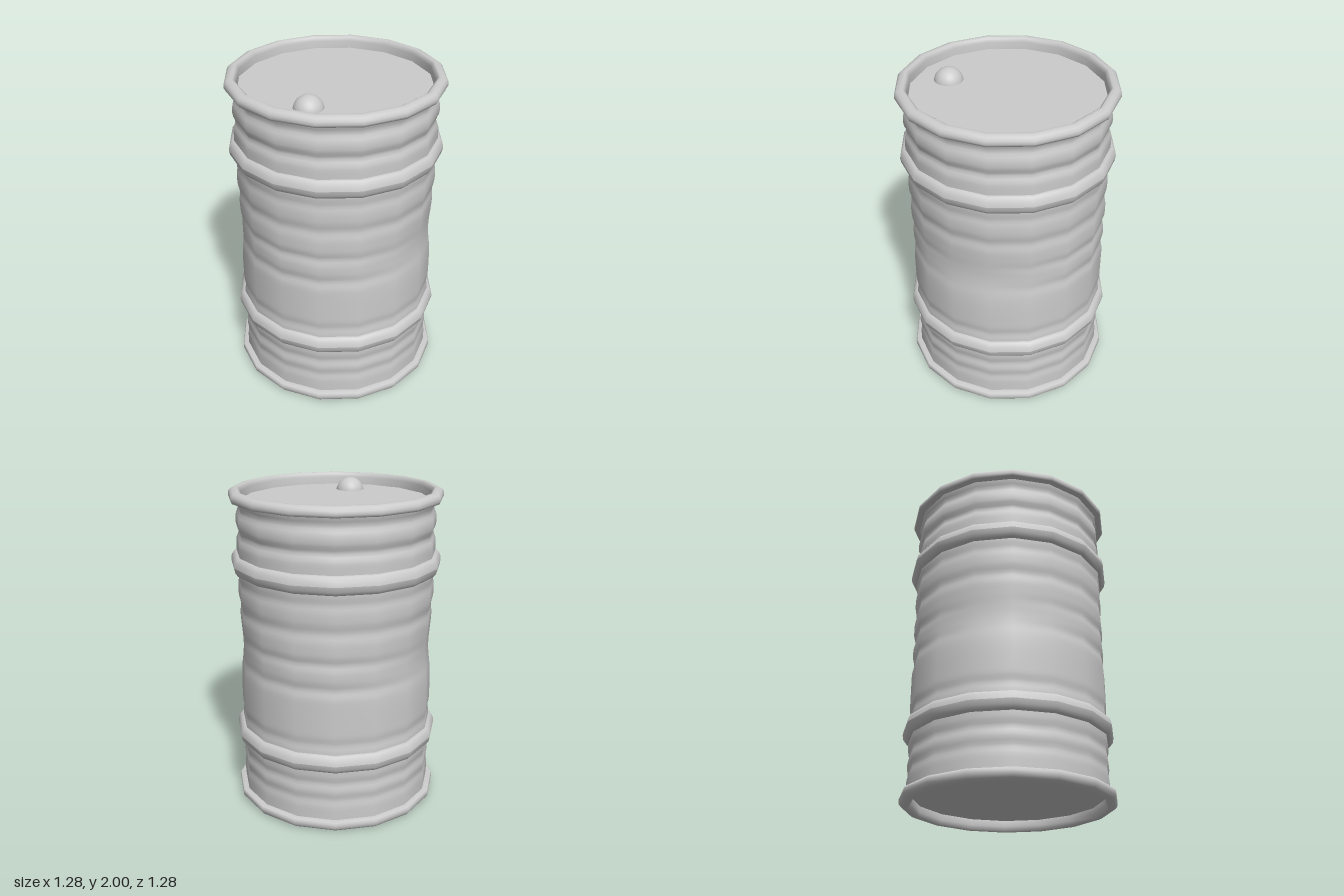
import * as THREE from 'three';
import { mergeVertices } from 'three/addons/utils/BufferGeometryUtils.js';

const SIDES = 16;
const material = new THREE.MeshStandardMaterial({ color: 0xcccccc });

// Smooth lathe whose flat sides face the axes
function turned(profile, sides = SIDES) {
  const points = profile.map(([r, y]) => new THREE.Vector2(r, y));
  return new THREE.LatheGeometry(points, sides, Math.PI / sides);
}

function add(group, name, geometry) {
  const mesh = new THREE.Mesh(geometry, material);
  mesh.name = name;
  group.add(mesh);
  return mesh;
}

// Raised band with an oval section running counterclockwise
function band(y) {
  const section = [];
  for (let i = 0; i <= 12; i++) {
    const a = (i / 12) * Math.PI * 2;
    section.push([0.606 + 0.043 * Math.cos(a), y + 0.06 * Math.sin(a)]);
  }
  return turned(section);
}

// Rolled rim: [radius, distance from the barrel's end], from wall to end plate
const RIM = [
  [0.6, 0.062], [0.645, 0.06], [0.652, 0.045], [0.65, 0.025], [0.638, 0.01],
  [0.618, 0.002], [0.6, 0], [0.588, 0.008], [0.581, 0.03], [0.579, 0.085],
];
const topRim = () => turned(RIM.map(([r, d]) => [r, 2 - d]));
const bottomRim = () => turned([...RIM, [0.6, 0.095]].reverse().map(([r, d]) => [r, d * 1.1]));

// Corrugated wall with shallow dents around the middle
function wall() {
  const bump = (y, centre, width) => Math.exp(-(((y - centre) / width) ** 2));
  const grooves = [
    [1.885, 0.035, 0.018], [1.735, 0.03, 0.018], [1.44, 0.03, 0.007], [1.27, 0.04, 0.011],
    [0.57, 0.03, 0.007], [0.31, 0.03, 0.01], [0.2, 0.03, 0.008],
  ];
  const profile = [];
  for (let i = 0; i <= 96; i++) {
    const y = 0.05 + (i / 96) * 1.9;
    let r = 0.613;
    for (const [centre, width, depth] of grooves) r -= depth * bump(y, centre, width);
    profile.push([r, y]);
  }
  let geometry = turned(profile);
  const p = geometry.attributes.position;
  for (let i = 0; i < p.count; i++) {
    const x = p.getX(i), y = p.getY(i), z = p.getZ(i);
    const a = Math.atan2(x, z);
    const sideways = Math.sin(a) ** 2;
    const dent = 0.02 * sideways * bump(y, 1.0, 0.13)
      + 0.012 * (1 - sideways) * (bump(y, 1.08, 0.03) + bump(y, 0.92, 0.035))
      + 0.006 * sideways * bump(y, 1.17, 0.1);
    const k = 1 - dent / Math.hypot(x, z);
    p.setXYZ(i, x * k, y, z * k);
  }
  geometry.deleteAttribute('uv');
  geometry.deleteAttribute('normal');
  geometry = mergeVertices(geometry, 1e-4);
  geometry.computeVertexNormals();
  return geometry;
}

export function createModel() {
  const group = new THREE.Group();
  group.name = 'barrel';

  add(group, 'wall', wall());

  // Rolled rims and the two raised bands
  add(group, 'topRim', topRim());
  add(group, 'bottomRim', bottomRim());
  add(group, 'upperBand', band(1.558));
  add(group, 'lowerBand', band(0.453));

  // Recessed end plates
  const plate = new THREE.CircleGeometry(0.59, SIDES, Math.PI / SIDES);
  const lid = add(group, 'lid', plate);
  lid.rotation.x = -Math.PI / 2;
  lid.position.y = 1.925;
  const base = add(group, 'base', plate);
  base.rotation.x = Math.PI / 2;
  base.position.y = 0.07;

  // Domed filler cap near the front of the lid
  const cap = add(group, 'fillerCap',
    new THREE.SphereGeometry(0.088, 32, 12, 0, Math.PI * 2, 0, Math.PI / 2));
  cap.position.set(-0.015, 1.912, 0.38);

  return group;
}
